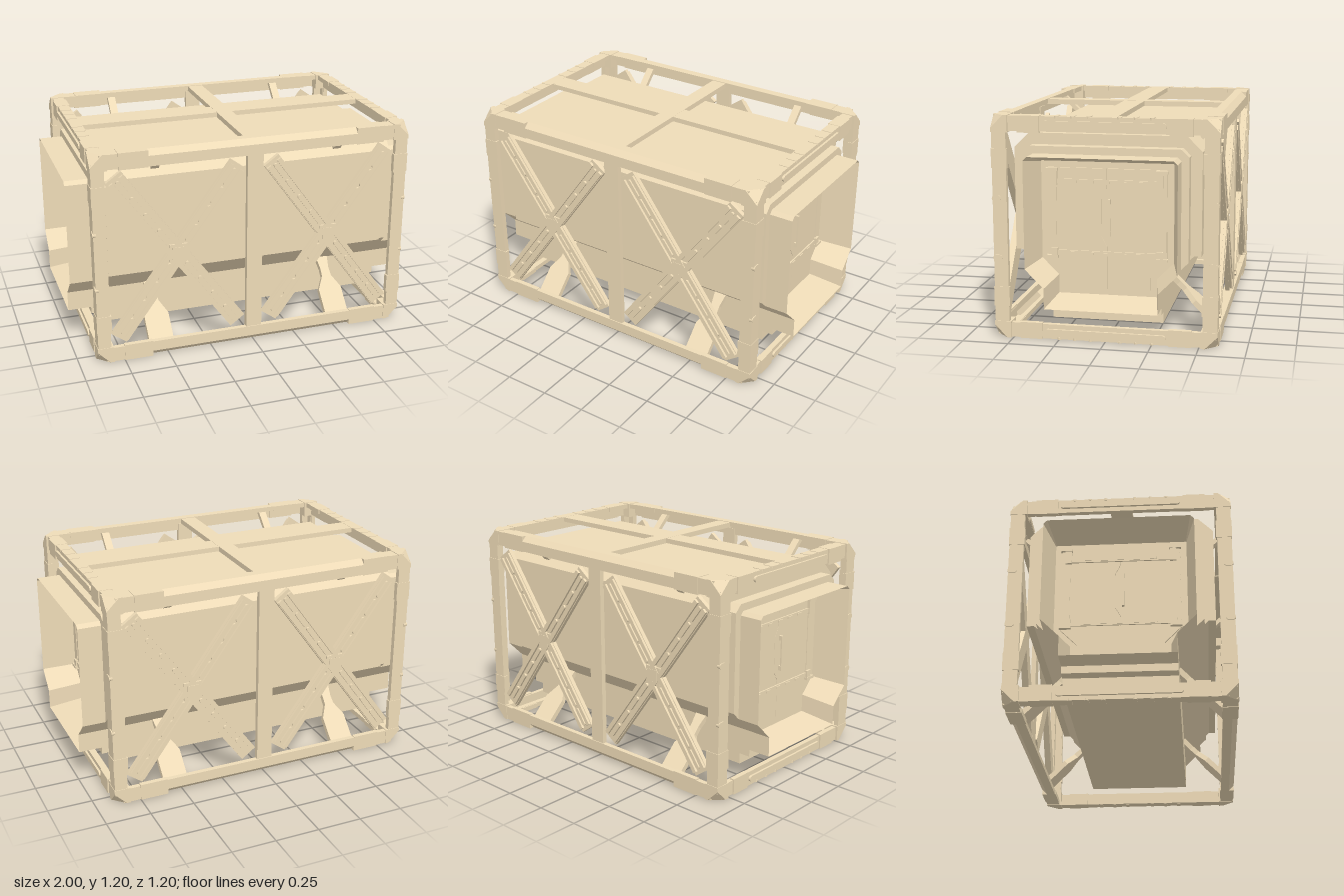
import * as THREE from 'three';
import { ConvexGeometry } from 'three/addons/geometries/ConvexGeometry.js';

const mat = new THREE.MeshStandardMaterial({ color: 0xeedbb7, flatShading: true });

function add(parent, name, geo, x = 0, y = 0, z = 0) {
  const m = new THREE.Mesh(geo, mat);
  m.name = name;
  m.position.set(x, y, z);
  parent.add(m);
  return m;
}

// Box given by its limits on each axis
function box(parent, name, x0, x1, y0, y1, z0, z1) {
  const g = new THREE.BoxGeometry(Math.abs(x1 - x0), Math.abs(y1 - y0), Math.abs(z1 - z0));
  return add(parent, name, g, (x0 + x1) / 2, (y0 + y1) / 2, (z0 + z1) / 2);
}

// L-section bar along one axis; limits on the other axes run [inner, outer]
function angleBar(parent, name, axis, limits) {
  for (let j = 0; j < 3; j++) {
    if (j === axis) continue;
    const l = limits.map(r => [...r]);
    l[j][0] = l[j][1] - Math.sign(l[j][1] - l[j][0]) * 0.028;
    box(parent, name, ...l.flat());
  }
}

const toShape = pts => new THREE.Shape(pts.map(p => new THREE.Vector2(p[0], p[1])));
const mirrorPts = half => [...half, ...half.map(([u, y]) => [-u, y]).reverse()];

// Prism along x from a profile in (u, y), where u = -z
function prismX(pts, x0, x1) {
  const g = new THREE.ExtrudeGeometry(toShape(pts), { depth: x1 - x0, bevelEnabled: false });
  return g.rotateY(Math.PI / 2).translate(x0, 0, 0);
}

// Skin through equal-length loops along x, closed by a cap on the last loop
function loft(sections) {
  const pos = [], idx = [], n = sections[0].pts.length;
  sections.forEach(s => s.pts.forEach(([u, y]) => pos.push(s.x, y, -u)));
  for (let k = 0; k < sections.length - 1; k++) {
    for (let i = 0; i < n; i++) {
      const a = k * n + i, b = k * n + (i + 1) % n;
      idx.push(a, b, b + n, a, b + n, a + n);
    }
  }
  const last = (sections.length - 1) * n;
  const cap = sections[sections.length - 1].pts.map(p => new THREE.Vector2(p[0], p[1]));
  THREE.ShapeUtils.triangulateShape(cap, []).forEach(t => idx.push(...t.map(i => i + last)));
  const g = new THREE.BufferGeometry();
  g.setAttribute('position', new THREE.Float32BufferAttribute(pos, 3));
  g.setIndex(idx);
  const flat = g.toNonIndexed();
  flat.computeVertexNormals();
  return flat;
}

// Right half of the keyhole-like end outline: narrow foot, 45 degree slope, wide top
const halfOutline = (w, top, ch, foot, bottom, k) =>
  [[foot, bottom], [foot, foot + k], [w, w + k], [w, top - ch], [w - ch, top]];

// Flat rounded bar in the xy plane
function pill(len, w, depth) {
  const r = w / 2, h = len / 2 - r, s = new THREE.Shape();
  s.absarc(h, 0, r, -Math.PI / 2, Math.PI / 2);
  s.absarc(-h, 0, r, Math.PI / 2, Math.PI * 1.5);
  return new THREE.ExtrudeGeometry(s, { depth, bevelEnabled: false, curveSegments: 6 });
}

// Cross brace made of a plate, edge rails and a broken middle rib
function makeBrace(parent, cx, angle) {
  const b = new THREE.Group();
  b.name = 'crossBrace';
  b.position.set(cx, 0.6, 0.572);
  b.rotation.z = angle;
  box(b, 'bracePlate', -0.578, 0.578, -0.05, 0.05, -0.012, 0.012);
  for (const s of [-1, 1]) {
    box(b, 'braceRail', -0.56, 0.56, s * 0.022, s * 0.046, 0.01, 0.026);
    for (let i = 0; i < 4; i++) add(b, 'braceRib', pill(0.11, 0.022, 0.014), s * (0.13 + i * 0.122), 0, 0.01);
  }
  parent.add(b);
}

// Long side of the frame, with braces and struts to the body
function makeSide() {
  const g = new THREE.Group();
  g.name = 'longSide';
  box(g, 'centrePost', -0.045, 0.045, 0.05, 1.15, 0.567, 0.595);
  for (const top of [0, 1]) {
    const Y = y => top ? 1.2 - y : y;
    const section = [[-0.52, 0], [-0.57, 0], [-0.6, 0.03], [-0.6, 0.088],
      [-0.572, 0.088], [-0.572, 0.04], [-0.56, 0.028], [-0.52, 0.028]].map(([u, y]) => [u, Y(y)]);
    add(g, 'chamferedRail', prismX(section, -0.592, 0.592));
    for (const s of [-1, 1]) {
      angleBar(g, 'railEnd', 0, [[s * 0.59, s * 0.85], [Y(0.085), Y(0.003)], [0.52, 0.597]]);
      angleBar(g, 'railCollar', 0, [[s * 0.59, s * 0.75], [Y(0.092), Y(0)], [0.516, 0.6]]);
    }
  }
  for (const s of [-1, 1]) {
    const cx = s * 0.435;
    makeBrace(g, cx, 0.94);
    makeBrace(g, cx, -0.94);
    box(g, 'braceHub', cx - 0.05, cx + 0.05, 0.55, 0.65, 0.56, 0.594);
    box(g, 'braceHubCap', cx - 0.034, cx + 0.034, 0.566, 0.634, 0.57, 0.6);
    // flared lower strut
    const flare = mirrorPts([[0.07, -0.07], [0.07, 0.11], [0.028, 0.19], [0.026, 0.24], [0.038, 0.33]]);
    const plate = new THREE.ExtrudeGeometry(toShape(flare), { depth: 0.03, bevelEnabled: false });
    add(g, 'lowerStrut', plate.translate(0, 0, -0.015).rotateX(-Math.PI / 4), s * 0.53, 0.085, 0.515);
    // short upper strut
    add(g, 'upperStrut', new THREE.BoxGeometry(0.045, 0.19, 0.025).rotateX(Math.PI / 4), s * 0.525, 1.1, 0.502);
  }
  return g;
}

// Short side of the frame
function makeEndFrame() {
  const g = new THREE.Group();
  g.name = 'endFrame';
  for (const top of [0, 1]) {
    const Y = y => top ? 1.2 - y : y;
    angleBar(g, 'endRail', 2, [[0.825, 0.888], [Y(0.083), Y(0.003)], [-0.55, 0.55]]);
    add(g, 'endRailBar', pill(0.65, 0.032, 0.02).rotateY(Math.PI / 2), 0.88, Y(0.042), 0);
    for (const s of [-1, 1]) {
      angleBar(g, 'endRailCollar', 2, [[0.819, 0.896], [Y(0.09), Y(0.001)], [s * 0.34, s * 0.46]]);
      for (const z of [0.08, 0.165, 0.25])
        add(g, 'stepRib', pill(0.062, 0.022, 0.012).rotateX(Math.PI / 2), 0.86, Y(0) + (top ? 0 : 0.012), s * z);
    }
  }
  for (const s of [-1, 1]) {
    angleBar(g, 'cornerPost', 1, [[0.828, 0.894], [0.05, 1.15], [s * 0.525, s * 0.594]]);
    for (const [y0, y1] of [[0.06, 0.175], [0.28, 0.92], [1.025, 1.14]])
      angleBar(g, 'postSleeve', 1, [[0.825, 0.897], [y0, y1], [s * 0.52, s * 0.597]]);
    for (const [y0, y1] of [[0.175, 0.28], [0.92, 1.025]])
      angleBar(g, 'postCollar', 1, [[0.818, 0.9], [y0, y1], [s * 0.515, s * 0.6]]);
    for (const y of [0.44, 0.76])
      add(g, 'postTab', pill(0.05, 0.03, 0.02).rotateY(Math.PI / 2), 0.882, y, s * 0.575);
  }
  return g;
}

// Frame corner with its outermost point cut off
function makeCorner(parent, sx, sy, sz) {
  const L = 0.09, c = 0.068, pts = [];
  for (let i = 0; i < 7; i++) pts.push([i & 1, (i >> 1) & 1, i >> 2].map(b => b * L));
  pts.push([L - c, L, L], [L, L - c, L], [L, L, L - c]);
  const v = pts.map(([x, y, z]) => new THREE.Vector3(sx * (0.81 + x), 0.6 + sy * (0.51 + y), sz * (0.51 + z)));
  add(parent, 'frameCorner', new ConvexGeometry(v));
}

// Entrance: stepped collar, deep hood and a two-leaf door
function makeEntrance() {
  const g = new THREE.Group();
  g.name = 'entrance';
  const outline = (...a) => mirrorPts(halfOutline(...a));
  const collar = outline(0.44, 1.04, 0.04, 0.3, 0.16, 0.01);
  const hood = outline(0.4, 1.0, 0.02, 0.3, 0.2, 0.01);
  const inner = outline(0.355, 0.955, 0.004, 0.265, 0.24, 0.075);
  add(g, 'hood', loft([
    { x: 0.78, pts: collar }, { x: 0.87, pts: collar }, { x: 0.87, pts: hood },
    { x: 1.0, pts: hood }, { x: 0.808, pts: inner },
  ]));

  // door leaves with a stepped seam between them
  const door = new THREE.Group();
  door.name = 'door';
  door.position.x = 0.808;
  g.add(door);
  const half = halfOutline(0.32, 0.922, 0.004, 0.23, 0.275, 0.115);
  const seam = [[0, 0.922], [0, 0.82], [-0.03, 0.76], [-0.03, 0.56], [0, 0.505], [0, 0.275]];
  const shift = d => seam.map(([u, y]) => [u + d, y]);
  add(door, 'doorLeaf', prismX([...half, ...shift(0.001)], 0, 0.01));
  add(door, 'doorLeaf', prismX([...half.map(([u, y]) => [-u, y]), ...shift(-0.001)], 0, 0.01));

  // slide rails, brackets and handle
  for (const y of [0.85, 0.466]) {
    box(door, 'slideRail', 0.008, 0.018, y - 0.013, y + 0.013, -0.27, 0.27);
    for (let i = -2; i <= 2; i++)
      box(door, 'railSlot', 0.01, 0.023, y - 0.006, y + 0.006, i * 0.088 - 0.018, i * 0.088 + 0.018);
  }
  for (const s of [-1, 1]) {
    box(door, 'doorPost', 0.008, 0.014, 0.45, 0.92, s * 0.272, s * 0.318);
    for (const [y0, y1, cap] of [[0.83, 0.905, 0.92], [0.445, 0.49, 0.452]]) {
      box(door, 'railBracket', 0.008, 0.026, y0, y1, s * 0.265, s * 0.3);
      box(door, 'bracketCap', 0.008, 0.03, cap - 0.016, cap, s * 0.262, s * 0.325);
    }
  }
  box(door, 'handle', 0.022, 0.03, 0.562, 0.762, -0.02, -0.008);
  for (const y of [0.575, 0.749]) box(door, 'handleMount', 0.008, 0.026, y - 0.013, y + 0.013, -0.021, -0.007);
  return g;
}

export function createModel() {
  const model = new THREE.Group();
  model.name = 'framedContainer';

  // inner body
  const body = mirrorPts([[0.3, 0.1], [0.3, 0.31], [0.46, 0.47], [0.5, 0.47], [0.5, 1.02], [0.42, 1.1]]);
  add(model, 'body', prismX(body, -0.805, 0.805));

  // roof cross of thin flat bars
  box(model, 'roofSpine', -0.85, 0.85, 1.169, 1.196, -0.06, 0.06);
  box(model, 'roofCrossbar', -0.045, 0.045, 1.168, 1.197, -0.55, 0.55);

  // sides and ends, each repeated by a half turn
  for (const turn of [0, Math.PI]) {
    for (const part of [makeSide(), makeEndFrame(), makeEntrance()]) {
      part.rotation.y = turn;
      model.add(part);
    }
  }
  for (const sx of [-1, 1]) for (const sy of [-1, 1]) for (const sz of [-1, 1]) makeCorner(model, sx, sy, sz);
  return model;
}
